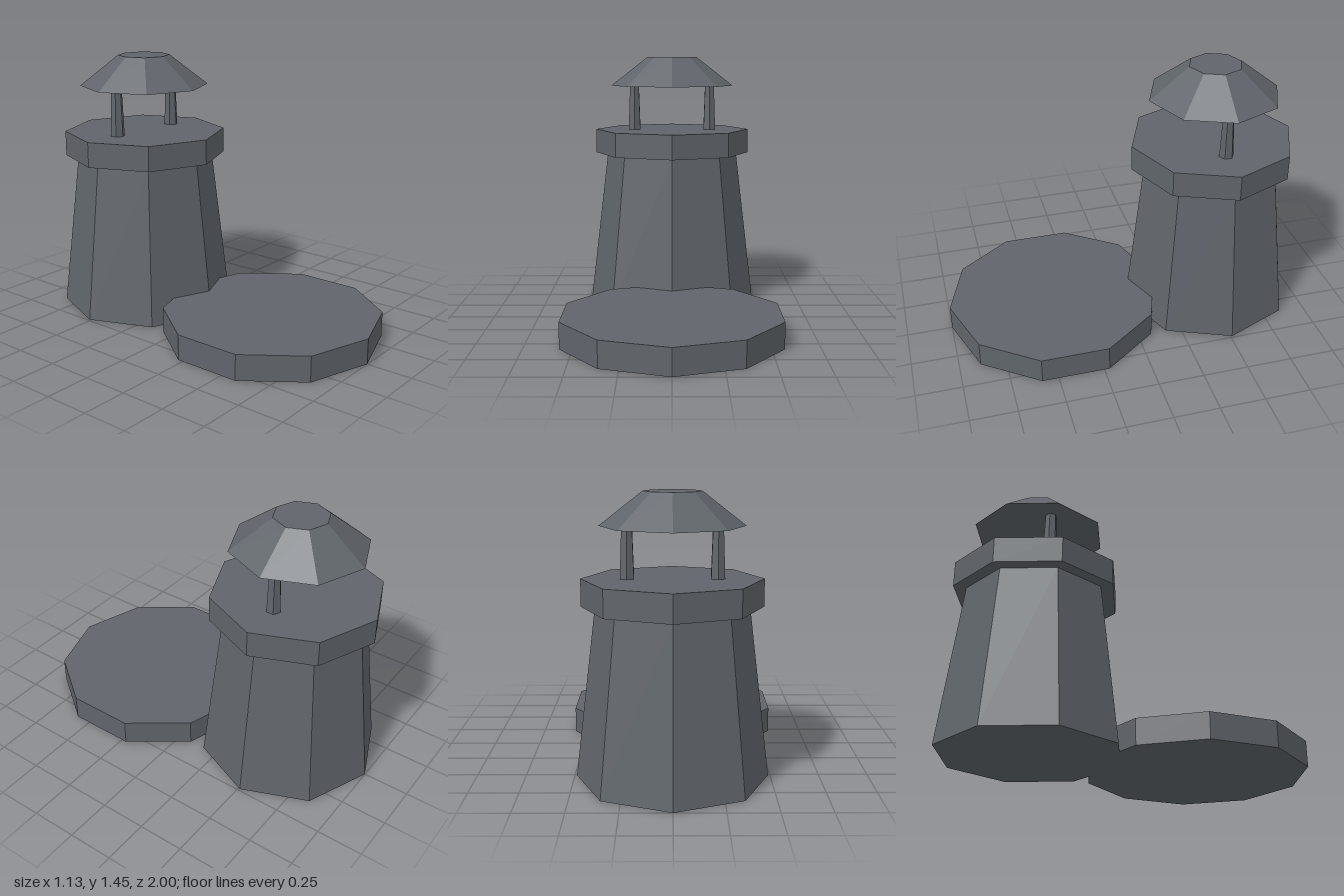
import * as THREE from 'three';

export function createModel() {
  const model = new THREE.Group();
  const stone = new THREE.MeshStandardMaterial({ color: 0x60656b, flatShading: true });
  stone.name = 'greyStone';

  // Faceted tapered drum standing on height y0
  function drum(name, rTop, rBottom, y0, y1, sides, x, z, parent) {
    const mesh = new THREE.Mesh(new THREE.CylinderGeometry(rTop, rBottom, y1 - y0, sides), stone);
    mesh.name = name;
    mesh.position.set(x, (y0 + y1) / 2, z);
    parent.add(mesh);
  }

  // Low ten-sided platform in front of the tower
  drum('platform', 0.595, 0.595, 0, 0.14, 10, 0, 0.405, model);

  // Eight-sided tower with gallery, two posts and a cut-off roof
  const tower = new THREE.Group();
  tower.name = 'tower';
  tower.position.z = -0.51;
  drum('towerWall', 0.385, 0.49, 0, 0.88, 8, 0, 0, tower);
  drum('gallery', 0.455, 0.455, 0.88, 1.02, 8, 0, 0, tower);
  drum('leftPost', 0.03, 0.04, 1.02, 1.28, 6, 0.224, 0, tower);
  drum('rightPost', 0.03, 0.04, 1.02, 1.28, 6, -0.224, 0, tower);
  drum('roof', 0.145, 0.362, 1.28, 1.45, 8, 0, 0, tower);
  model.add(tower);

  return model;
}
